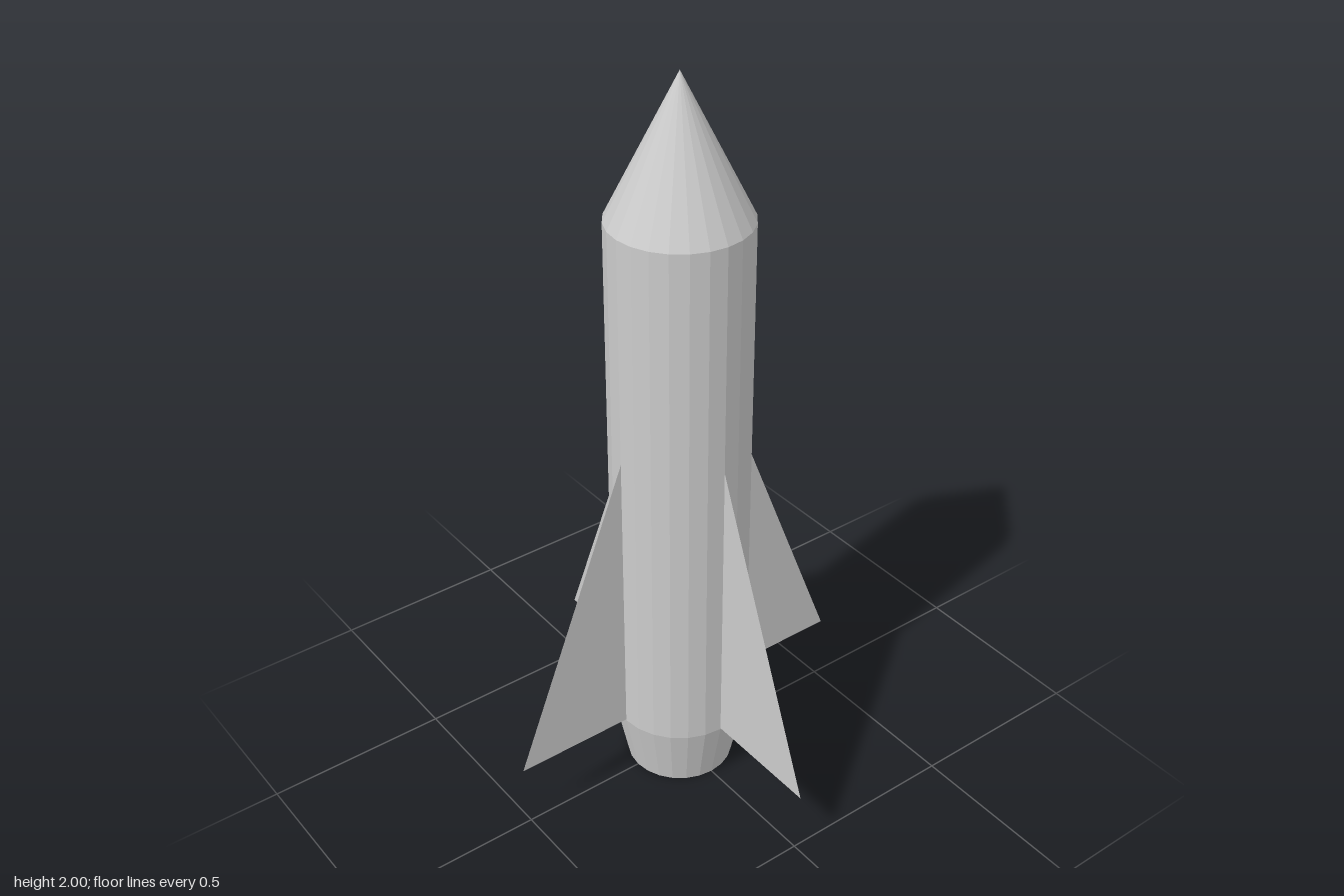
import * as THREE from 'three';

export function createModel() {
  const group = new THREE.Group();
  const mat = new THREE.MeshStandardMaterial({ color: 0xcccccc, flatShading: true });
  const finMat = new THREE.MeshStandardMaterial({ color: 0xcccccc, flatShading: true, side: THREE.DoubleSide });
  const R = 0.182, SIDES = 24;

  // One round section of the hull, between heights y0 and y1
  function section(name, rTop, rBottom, y0, y1, open) {
    const geo = new THREE.CylinderGeometry(rTop, rBottom, y1 - y0, SIDES, 1, open);
    geo.translate(0, (y0 + y1) / 2, 0);
    const mesh = new THREE.Mesh(geo, mat);
    mesh.name = name;
    group.add(mesh);
  }
  section('engineSkirt', R, 0.145, 0, 0.182, false);
  section('body', R, R, 0.182, 1.636, true);
  section('noseCone', 0, R, 1.636, 2, true);

  // Four paper-thin triangular fins around the hull
  const finShape = new THREE.Shape([
    new THREE.Vector2(R, 0.185),
    new THREE.Vector2(0.515, 0.185),
    new THREE.Vector2(R, 1.018),
  ]);
  const finGeo = new THREE.ShapeGeometry(finShape);
  ['leftFin', 'backFin', 'rightFin', 'frontFin'].forEach((name, i) => {
    const fin = new THREE.Mesh(finGeo, finMat);
    fin.name = name;
    fin.rotation.y = i * Math.PI / 2;
    group.add(fin);
  });

  return group;
}
